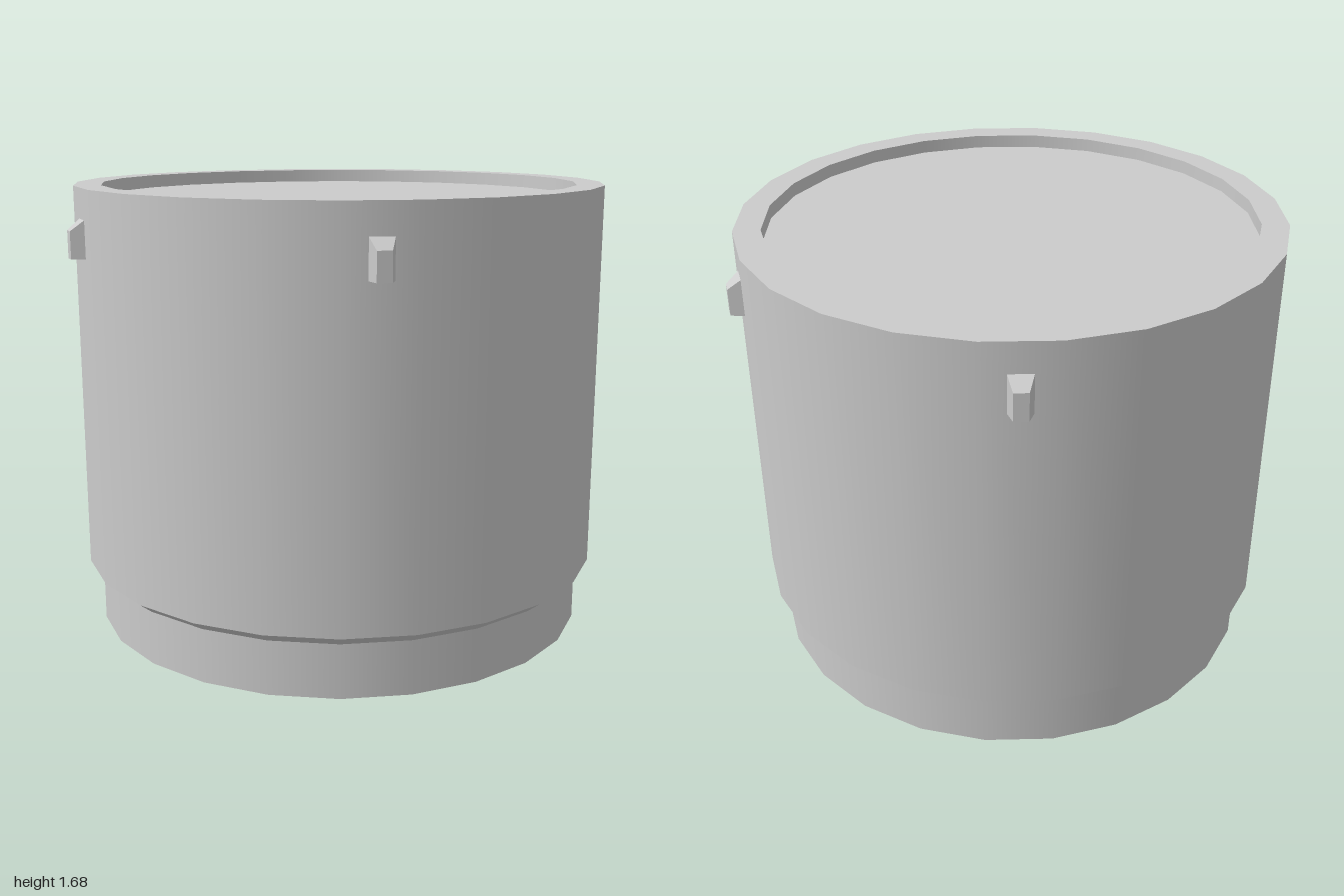
import * as THREE from 'three';

const SIDES = 24;
const smooth = new THREE.MeshStandardMaterial({ color: 0xcccccc });
const faceted = new THREE.MeshStandardMaterial({ color: 0xcccccc, flatShading: true });

// Box whose corners are moved by a rule
function shapedBox(w, h, d, rule) {
  const geo = new THREE.BoxGeometry(w, h, d);
  const pos = geo.attributes.position;
  const v = new THREE.Vector3();
  for (let i = 0; i < pos.count; i++) {
    rule(v.fromBufferAttribute(pos, i));
    pos.setXYZ(i, v.x, v.y, v.z);
  }
  geo.computeVertexNormals();
  return geo;
}

// Place a part at an angle round the axis, its local +z pointing outwards
function placeRound(group, name, geo, angle, radius, y) {
  const mesh = new THREE.Mesh(geo, faceted);
  mesh.name = name;
  mesh.rotation.y = angle;
  mesh.position.set(Math.sin(angle) * radius, y, Math.cos(angle) * radius);
  group.add(mesh);
}

export function createModel() {
  const model = new THREE.Group();
  model.name = 'container';

  // Turned body: each profile segment is its own band so the edges stay sharp
  const profile = [
    ['baseFloor', 0, 0.1], ['baseInnerWall', 0.9, 0.1], ['baseRim', 0.9, 0],
    ['baseWall', 0.95, 0], ['bevel', 0.95, 0.2], ['bodyWall', 1, 0.24],
    ['topRim', 1, 1.68], ['topInnerWall', 0.9, 1.68], ['topPanel', 0.9, 1.63],
    ['end', 0, 1.63],
  ];
  const body = new THREE.Group();
  body.name = 'body';
  for (let i = 0; i < profile.length - 1; i++) {
    const [name, r0, y0] = profile[i];
    const [, r1, y1] = profile[i + 1];
    const band = new THREE.Mesh(
      new THREE.LatheGeometry([new THREE.Vector2(r0, y0), new THREE.Vector2(r1, y1)], SIDES), smooth);
    band.name = name;
    body.add(band);
  }
  model.add(body);

  // Four outer lugs, tapered outwards with a sloping top
  const lugGeo = shapedBox(0.1, 0.155, 0.07, (v) => {
    if (v.z > 0) {
      v.x *= 0.5;
      if (v.y > 0) v.y -= 0.055;
    }
  });
  const lugs = new THREE.Group();
  lugs.name = 'lugs';
  for (const deg of [37.5, 142.5, 217.5, 322.5]) {
    placeRound(lugs, 'lug', lugGeo, THREE.MathUtils.degToRad(deg), 1.005, 1.508);
  }
  model.add(lugs);

  // Eight small wedges in the corner of the base recess
  const wedgeGeo = shapedBox(0.1, 0.06, 0.08, (v) => {
    if (v.z < 0 && v.y < 0) v.z = 0.02;
  });
  const wedges = new THREE.Group();
  wedges.name = 'baseWedges';
  for (let i = 0; i < 8; i++) {
    placeRound(wedges, 'baseWedge', wedgeGeo, (i + 0.5) * Math.PI / 4, 0.86, 0.075);
  }
  model.add(wedges);

  // Square tapered boss under the base
  const boss = new THREE.Mesh(
    new THREE.CylinderGeometry(0.15 * Math.SQRT2, 0.1 * Math.SQRT2, 0.095, 4), faceted);
  boss.name = 'baseBoss';
  boss.rotation.y = Math.PI / 4;
  boss.position.y = 0.0525;
  model.add(boss);

  return model;
}
